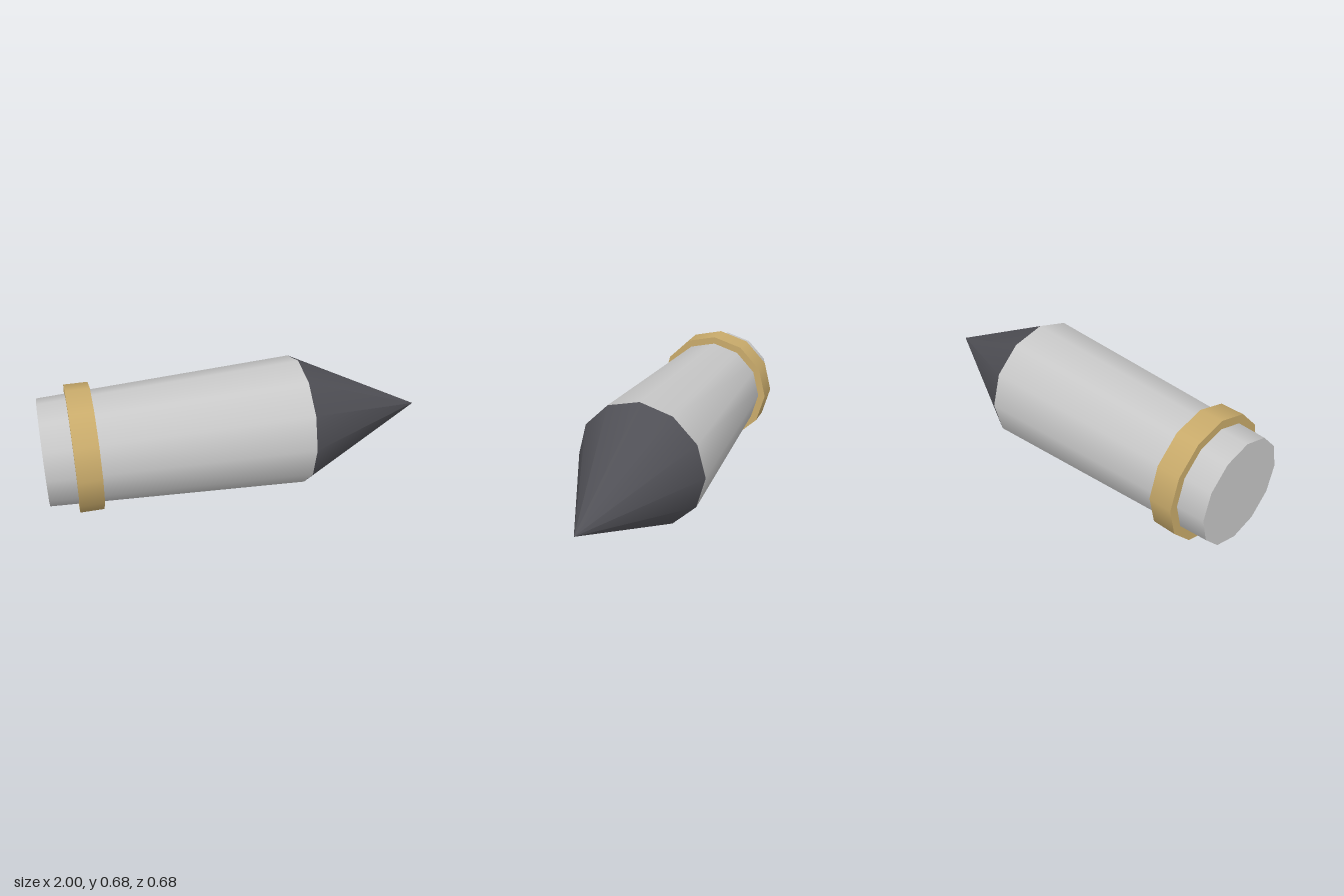
import * as THREE from 'three';

const SIDES = 12;
const AXIS_Y = 0.34;

export function createModel() {
  const model = new THREE.Group();
  model.name = 'projectile';

  const material = (name, color) => {
    const m = new THREE.MeshStandardMaterial({ color });
    m.name = name;
    return m;
  };
  const silver = material('silver', 0xc8c8c8);
  const brass = material('brass', 0xc9ab6b);
  const charcoal = material('charcoal', 0x505056);

  // Adds a round section along x, from x0 (radius r0) to x1 (radius r1)
  const addSection = (name, x0, x1, r0, r1, mat) => {
    const geometry = new THREE.CylinderGeometry(r1, r0, x1 - x0, SIDES);
    geometry.rotateZ(-Math.PI / 2);
    const mesh = new THREE.Mesh(geometry, mat);
    mesh.name = name;
    mesh.position.set((x0 + x1) / 2, AXIS_Y, 0);
    model.add(mesh);
  };

  // Tapered body, pointed nose and raised band near the tail
  addSection('body', -1, 0.32, 0.27, 0.34, silver);
  addSection('nose', 0.32, 1, 0.34, 0, charcoal);
  addSection('band', -0.86, -0.74, 0.323, 0.323, brass);

  return model;
}
